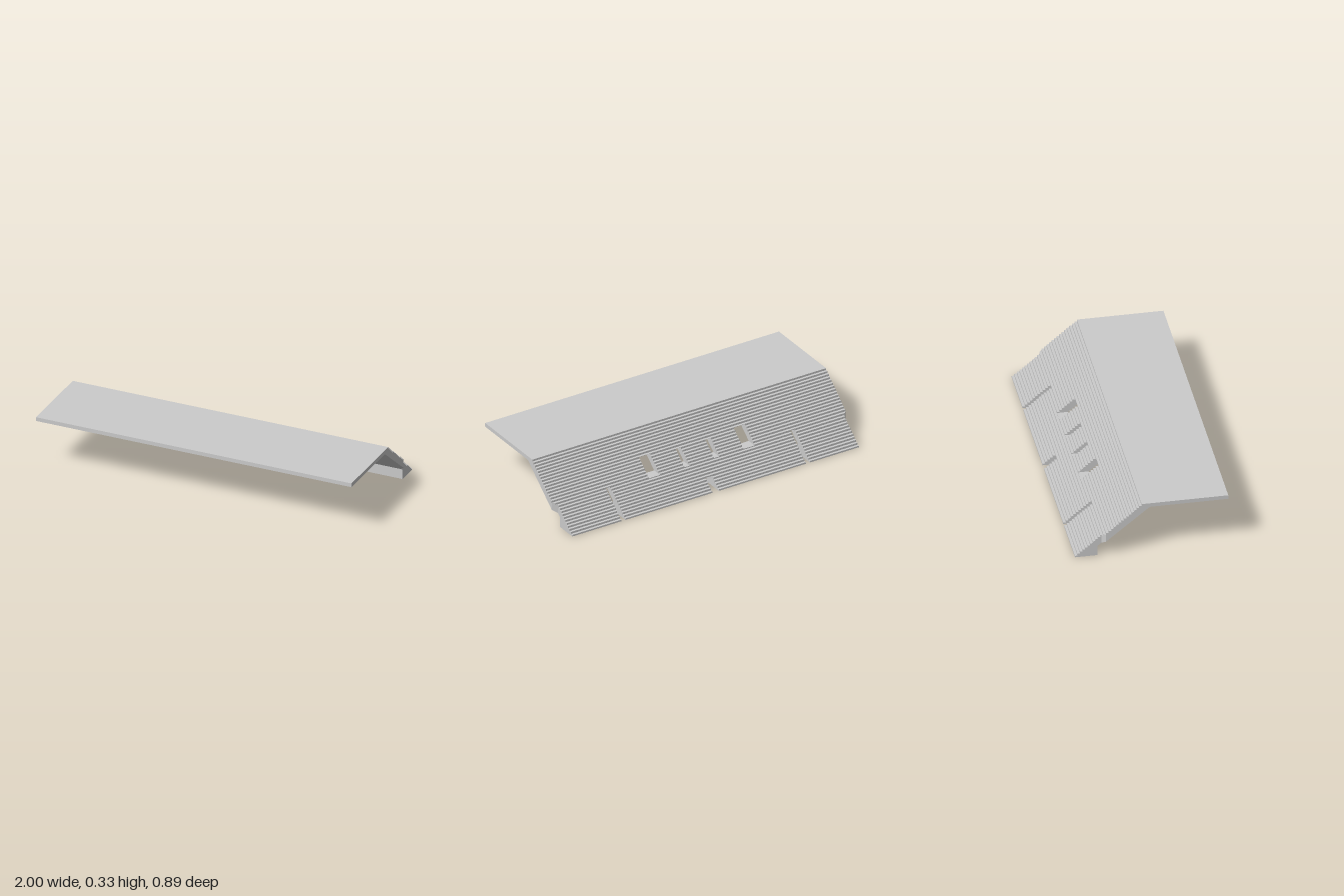
import * as THREE from 'three';

// Cross-section in (u, y) with u = -z, counter-clockwise seen from +x
function terraceProfile() {
  const steps = 26, foot = 0.447, lip = 0.06, firstRise = 0.01, top = 0.331;
  const run = (foot - lip) / steps, rise = (top - firstRise) / steps;
  const pts = [[-0.447, 0.307], [0.013, 0.307], [0.316, 0.062], [0.316, 0], [foot, 0]];
  for (let i = 0; i <= steps; i++) {
    pts.push([foot - i * run, firstRise + i * rise]);
    if (i < steps) pts.push([foot - (i + 1) * run, firstRise + i * rise]);
  }
  pts.push([-0.447, top]);
  return pts;
}

// Keep the part of a polygon where the given axis is above (sign 1) or below (sign -1) a limit
function clip(poly, axis, limit, sign) {
  const out = [];
  poly.forEach((a, i) => {
    const b = poly[(i + 1) % poly.length];
    const da = sign * (a[axis] - limit), db = sign * (b[axis] - limit);
    if (da >= 0) out.push(a);
    if ((da > 0 && db < 0) || (da < 0 && db > 0)) {
      const t = da / (da - db);
      const p = [a[0] + (b[0] - a[0]) * t, a[1] + (b[1] - a[1]) * t];
      p[axis] = limit;
      out.push(p);
    }
  });
  return out;
}

// Surfaces running along x between two ends; each end may vary with u
function addWalls(pos, poly, start, end, skip = () => false) {
  poly.forEach((a, i) => {
    const b = poly[(i + 1) % poly.length];
    if (skip(a, b)) return;
    const a0 = [start(a[0]), a[1], -a[0]], b0 = [start(b[0]), b[1], -b[0]];
    const a1 = [end(a[0]), a[1], -a[0]], b1 = [end(b[0]), b[1], -b[0]];
    pos.push(...a0, ...b0, ...b1, ...a0, ...b1, ...a1);
  });
}

// Flat face closing a polygon, facing +x (side 1) or -x (side -1)
function addCap(pos, poly, xAt, side) {
  const contour = poly.map(([u, y]) => new THREE.Vector2(u, y));
  for (const tri of THREE.ShapeUtils.triangulateShape(contour, [])) {
    const order = side > 0 ? tri : [tri[0], tri[2], tri[1]];
    for (const k of order) pos.push(xAt(poly[k][0]), poly[k][1], -poly[k][0]);
  }
}

export function createModel() {
  const group = new THREE.Group();
  const material = new THREE.MeshStandardMaterial({ color: 0xcccccc, flatShading: true, side: THREE.DoubleSide });
  const addMesh = (name, pos) => {
    const geometry = new THREE.BufferGeometry();
    geometry.setAttribute('position', new THREE.Float32BufferAttribute(pos, 3));
    geometry.computeVertexNormals();
    const mesh = new THREE.Mesh(geometry, material);
    mesh.name = name;
    group.add(mesh);
  };
  const at = (x) => () => x;
  const profile = terraceProfile();

  // Openings: centre x, width, bottom, top (bottom 0 is an open slot)
  const shift = -0.003;
  const openings = [[0, 0.044, 0, 0.063]];
  for (const s of [-1, 1]) {
    openings.push([s * 0.628, 0.028, 0, 0.14], [s * 0.322, 0.075, 0.127, 0.218], [s * 0.101, 0.035, 0.127, 0.206]);
  }
  openings.sort((a, b) => a[0] - b[0]);

  // Deck and stepped slope, with openings cut straight through
  const leftX = 0.975 + shift, rightX = -0.975 + shift;
  const body = [], reveals = [];
  let x = rightX;
  for (const [cx, width, bottom, top] of openings) {
    const x0 = cx + shift - width / 2, x1 = x0 + width;
    addWalls(body, profile, at(x), at(x0));
    addWalls(body, clip(profile, 1, top, 1), at(x0), at(x1));
    if (bottom > 0) addWalls(body, clip(profile, 1, bottom, -1), at(x0), at(x1));
    let band = clip(profile, 1, top, -1);
    if (bottom > 0) band = clip(band, 1, bottom, 1);
    addCap(reveals, band, at(x0), 1);
    addCap(reveals, band, at(x1), -1);
    x = x1;
  }
  addWalls(body, profile, at(x), at(leftX));
  addMesh('steppedTerrace', body);
  addMesh('openingReveals', reveals);

  // Ends: full width above, a chamfer, then a set-back foot
  const uFull = 0.27, uBack = 0.292;
  const upper = clip(profile, 0, uFull, -1);
  const middle = clip(clip(profile, 0, uFull, 1), 0, uBack, -1);
  const foot = clip(profile, 0, uBack, 1);
  const onCut = (a, b) => [uFull, uBack].some((c) => a[0] === c && b[0] === c);
  for (const s of [-1, 1]) {
    const inner = s > 0 ? leftX : rightX;
    const outer = (u) => THREE.MathUtils.mapLinear(THREE.MathUtils.clamp(u, uFull, uBack), uFull, uBack, s, inner);
    const pos = [];
    for (const part of [upper, middle]) {
      if (s > 0) addWalls(pos, part, at(inner), outer, onCut);
      else addWalls(pos, part, outer, at(inner), onCut);
    }
    for (const part of [upper, middle, foot]) addCap(pos, part, outer, s);
    addMesh(s > 0 ? 'leftEnd' : 'rightEnd', pos);
  }
  return group;
}
